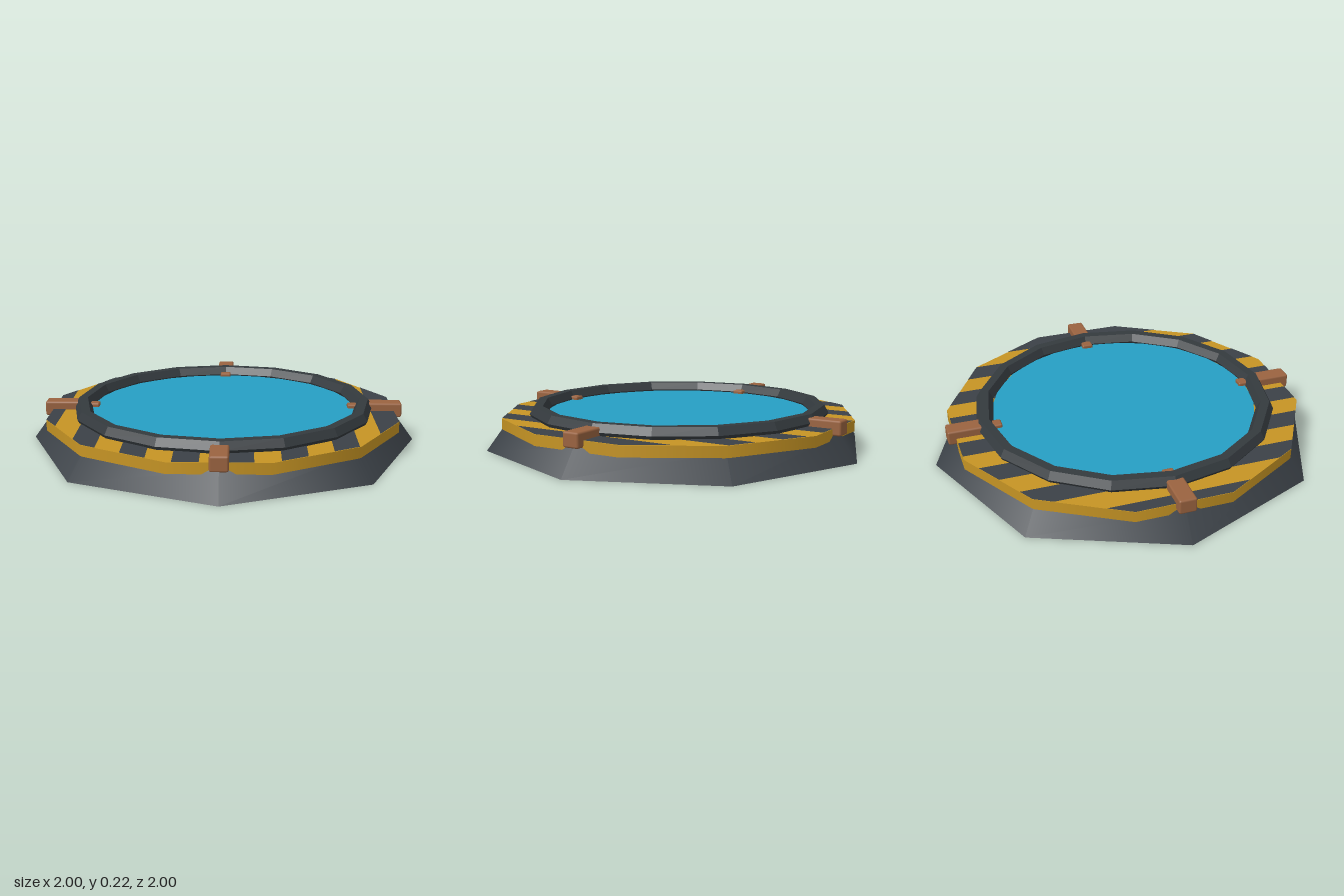
import * as THREE from 'three';
import { RoundedBoxGeometry } from 'three/addons/geometries/RoundedBoxGeometry.js';

const paint = (name, color) => {
  const m = new THREE.MeshStandardMaterial({ color });
  m.name = name;
  return m;
};

// Keep the part of a polygon of [x, z] points where sign * (x + z - limit) >= 0
function clip(points, limit, sign) {
  const out = [];
  points.forEach((p, i) => {
    const q = points[(i + 1) % points.length];
    const dp = sign * (p[0] + p[1] - limit), dq = sign * (q[0] + q[1] - limit);
    if (dp >= 0) out.push(p);
    if (dp * dq < 0) {
      const t = dp / (dp - dq);
      out.push([p[0] + (q[0] - p[0]) * t, p[1] + (q[1] - p[1]) * t]);
    }
  });
  return out;
}

export function createModel() {
  const model = new THREE.Group();
  const baseGrey = paint('base grey', 0x3b4147);
  const rimGrey = paint('rim grey', 0x343a3e);
  const yellow = paint('warning yellow', 0xc69424);
  const blue = paint('pool blue', 0x269fc4);
  const brown = paint('clamp brown', 0x9a6340);

  const add = (name, geometry, material, y = 0, parent = model) => {
    const mesh = new THREE.Mesh(geometry, material);
    mesh.name = name;
    mesh.position.y = y;
    parent.add(mesh);
    return mesh;
  };

  // Sloped eight-sided base
  add('base', new THREE.CylinderGeometry(0.905, 1, 0.13, 8), baseGrey, 0.065);

  // Twelve-sided deck
  const deckRadius = 0.92, deckTop = 0.163;
  add('deck', new THREE.CylinderGeometry(deckRadius, deckRadius, 0.055, 12), yellow, deckTop - 0.0275);

  // Parallel dark stripes laid diagonally over the deck
  const outline = [];
  for (let i = 0; i < 12; i++) {
    const a = (i * Math.PI) / 6;
    outline.push([deckRadius * Math.cos(a), deckRadius * Math.sin(a)]);
  }
  const period = 0.346, firstYellow = -1.164;
  for (let i = 0; i < 8; i++) {
    const end = firstYellow + i * period;
    const band = clip(clip(outline, end - period / 2, 1), end, -1);
    if (band.length < 3) continue;
    const shape = new THREE.Shape(band.map(([x, z]) => new THREE.Vector2(x, -z)));
    add('deckStripe', new THREE.ShapeGeometry(shape).rotateX(-Math.PI / 2), baseGrey, deckTop + 0.002);
  }

  // Faceted rim around the pool
  const rim = new THREE.TorusGeometry(0.735, 0.045, 6, 16).rotateX(-Math.PI / 2).toNonIndexed();
  rim.computeVertexNormals();
  add('rim', rim, rimGrey, 0.18);

  // Pool surface
  add('poolSurface', new THREE.CircleGeometry(0.687, 24).rotateX(-Math.PI / 2), blue, 0.174);

  // Four clamps with an outer block and a small inner tip
  for (let i = 0; i < 4; i++) {
    const clamp = new THREE.Group();
    clamp.name = 'clamp';
    clamp.rotation.y = Math.PI / 4 + (i * Math.PI) / 2;
    add('clampBlock', new RoundedBoxGeometry(0.088, 0.075, 0.18, 1, 0.01), brown, 0.167, clamp).position.z = 0.84;
    add('clampTip', new RoundedBoxGeometry(0.058, 0.045, 0.08, 1, 0.008), brown, 0.17, clamp).position.z = 0.69;
    model.add(clamp);
  }
  return model;
}
